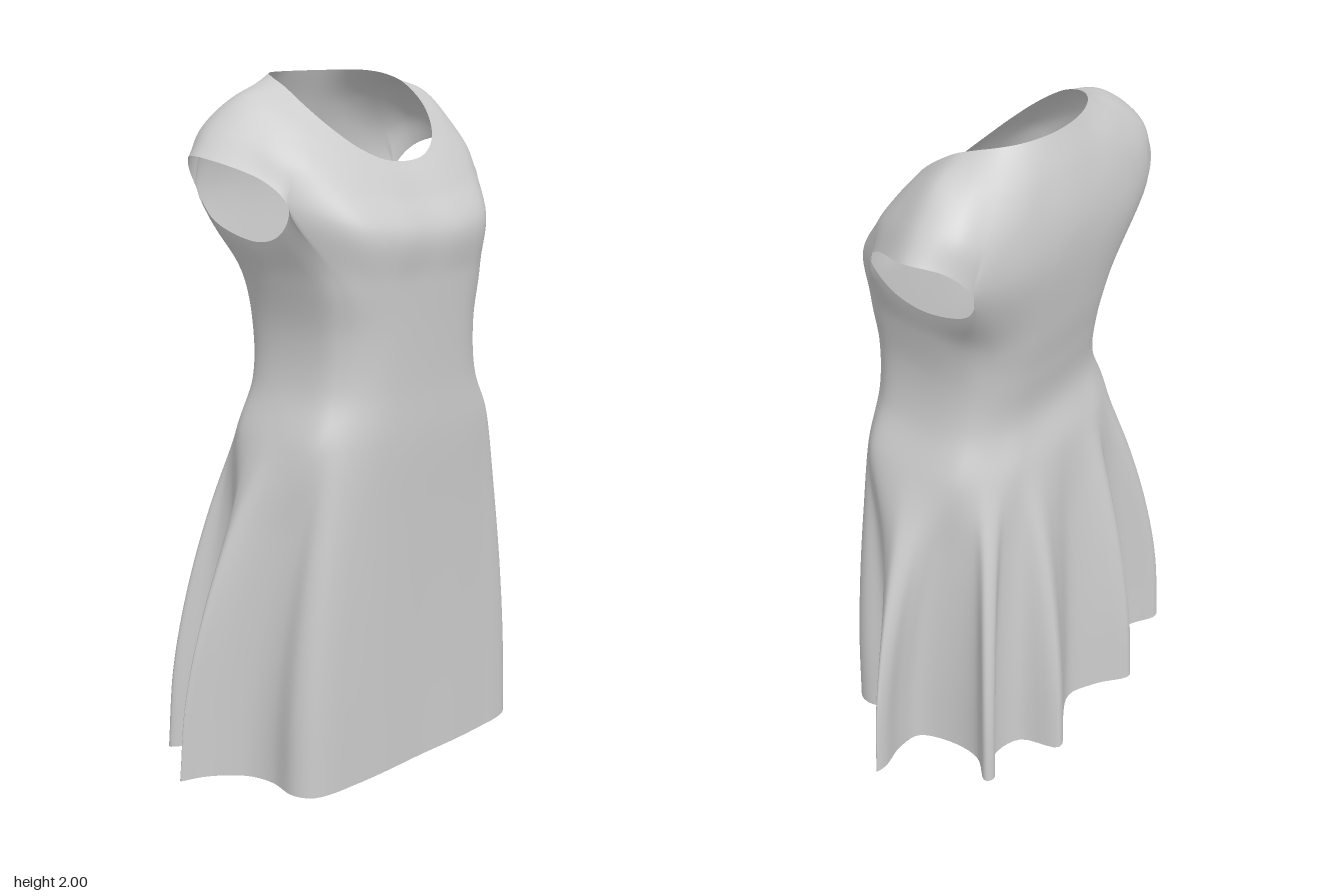
import * as THREE from 'three';
import { mergeVertices } from 'three/addons/utils/BufferGeometryUtils.js';

const COLS = 240;
const V = (x, y, z) => new THREE.Vector3(x, y, z);

// Closed horizontal loop: left half outline (centre front -> side -> centre back), then the right half mirrored in x
function ring(left, right = left) {
  const mirrored = right.slice(1, -1).reverse().map((p) => V(-p.x, p.y, p.z));
  const curve = new THREE.CatmullRomCurve3([...left, ...mirrored], true, 'catmullrom', 0.5);
  return Array.from({ length: COLS }, (_, j) => curve.getPoint(j / COLS));
}

const points = (list) => list.map((p) => V(...p));

// Rounded body section: half width w, front depth f, back depth b, widest at depth c
function bodyRing(y, w, f, b, c = 0.04) {
  const half = [];
  for (let i = 0; i <= 10; i++) {
    const a = (Math.PI * i) / 10, co = Math.cos(a);
    const z = co > 0 ? c + (f - c) * Math.pow(co, 0.58) : c + (b - c) * Math.pow(-co, 0.7);
    half.push(V(w * Math.pow(Math.abs(Math.sin(a)), 0.7), y, z));
  }
  half[0].x = half[10].x = 0;
  return ring(half);
}

// Pleated hem outlines (x, z); the pleats differ a little from side to side
const hemLeft = [
  [0, 0.312], [0.07, 0.313], [0.14, 0.314], [0.21, 0.313], [0.28, 0.311], [0.355, 0.308], [0.41, 0.29],
  [0.432, 0.24], [0.417, 0.16], [0.45, 0.098], [0.53, 0.062], [0.6, 0.043], [0.65, 0.022],
  [0.61, 0.014], [0.53, 0.03], [0.45, 0.015], [0.41, -0.08], [0.41, -0.18], [0.464, -0.247],
  [0.432, -0.266], [0.36, -0.208], [0.255, -0.232], [0.205, -0.348], [0.105, -0.29], [0, -0.24],
];
const hemRight = [
  [0, 0.312], [0.07, 0.313], [0.14, 0.314], [0.21, 0.314], [0.29, 0.312], [0.375, 0.308], [0.435, 0.29],
  [0.465, 0.24], [0.457, 0.16], [0.48, 0.092], [0.53, 0.042], [0.59, 0.005], [0.65, -0.018],
  [0.61, -0.026], [0.54, -0.003], [0.46, -0.02], [0.415, -0.09], [0.43, -0.185], [0.494, -0.25],
  [0.462, -0.268], [0.37, -0.215], [0.25, -0.235], [0.195, -0.35], [0.1, -0.285], [0, -0.24],
];
// The hem lifts at the sides
const hemPoints = (outline) => outline.map(([x, z], i) => {
  const a = (Math.PI * i) / (outline.length - 1), co = Math.cos(a);
  return V(x, 0.012 + 0.008 * co + 0.035 * Math.pow(Math.sin(a), co > 0 ? 4 : 2), z);
});

// Chest line, interrupted at the sides by the armholes
const chest = ring(points([
  [0, 1.58, 0.347], [0.13, 1.585, 0.345], [0.265, 1.605, 0.298], [0.385, 1.665, 0.165],
  [0.4, 1.67, 0.1], [0.43, 1.675, -0.02], [0.415, 1.68, -0.13],
  [0.4, 1.69, -0.187], [0.28, 1.68, -0.228], [0.14, 1.67, -0.243], [0, 1.67, -0.245],
]));
// Armhole rim: front corner, over the sleeve tip, back corner, under the arm
const armhole = new THREE.CatmullRomCurve3(points([
  [0.385, 1.665, 0.165], [0.43, 1.738, 0.1], [0.508, 1.79, -0.05], [0.46, 1.768, -0.15],
  [0.4, 1.69, -0.187], [0.375, 1.6, -0.14], [0.36, 1.556, 0], [0.365, 1.583, 0.11],
]), true, 'catmullrom', 0.5);

const armPosition = (j) => (Math.min(j, COLS - j) / (COLS / 20) - 3) / 8;
const inArmhole = (j) => armPosition(j) > 1e-6 && armPosition(j) < 0.5 - 1e-6;
function edge(upper) {
  return chest.map((p, j) => {
    if (!inArmhole(j)) return p;
    const t = armPosition(j);
    const q = armhole.getPoint(upper ? t : 1 - t);
    if (j > COLS / 2) q.x *= -1;
    return q;
  });
}

// Yoke sections between chest line and neckline
const yokeLow = [
  [0, 1.675, 0.288], [0.115, 1.682, 0.285], [0.245, 1.71, 0.245], [0.345, 1.765, 0.165], [0.4, 1.825, 0.065],
  [0.443, 1.868, -0.05], [0.42, 1.852, -0.145], [0.36, 1.81, -0.198], [0.26, 1.8, -0.225],
  [0.13, 1.79, -0.238], [0, 1.78, -0.243],
];
const yokeHigh = [
  [0, 1.725, 0.255], [0.095, 1.735, 0.25], [0.195, 1.77, 0.215], [0.275, 1.825, 0.15], [0.325, 1.888, 0.065],
  [0.35, 1.941, -0.03], [0.33, 1.938, -0.11], [0.28, 1.917, -0.165], [0.2, 1.905, -0.2],
  [0.1, 1.9, -0.21], [0, 1.9, -0.215],
];
const neckline = [
  [0, 1.765, 0.225], [0.08, 1.775, 0.22], [0.15, 1.81, 0.19], [0.2, 1.86, 0.14], [0.23, 1.915, 0.075],
  [0.236, 1.965, 0], [0.225, 1.988, -0.06], [0.195, 1.998, -0.11], [0.145, 2, -0.145],
  [0.075, 2, -0.168], [0, 2, -0.175],
];

export function createModel() {
  const hem = ring(hemPoints(hemLeft), hemPoints(hemRight));
  const hip = bodyRing(1.0, 0.385, 0.332, -0.2, 0.07);
  const torso = [
    bodyRing(1.15, 0.322, 0.331, -0.165), bodyRing(1.3, 0.305, 0.335, -0.185), bodyRing(1.45, 0.328, 0.342, -0.215),
  ];
  const lowerEdge = edge(false);
  const upperEdge = edge(true);
  const yoke = [yokeLow, yokeHigh, neckline].map((list) => ring(points(list)));

  // Skirt sections flare out quickly below the hip, with pleats deepening to the hem
  const skirt = [1, 0.75, 0.5, 0.25].map((t) => hip.map((h, j) => {
    const p = h.clone().lerp(hem[j], 1 - Math.pow(1 - t, 1.8));
    p.y = THREE.MathUtils.lerp(h.y, hem[j].y, t);
    return p;
  }));

  // Each column runs up the dress as a smooth curve
  const lowerSections = [...skirt, hip, ...torso, lowerEdge, yoke[0]];
  const positions = [], index = [];
  function addPanel(columnCurve, t0, t1, rows) {
    const base = positions.length / 3;
    for (let j = 0; j < COLS; j++) {
      const curve = columnCurve(j);
      for (let r = 0; r <= rows; r++) {
        positions.push(...curve.getPoint(t0 + ((t1 - t0) * r) / rows).toArray());
      }
    }
    for (let j = 0; j < COLS; j++) {
      for (let r = 0; r < rows; r++) {
        const a = base + j * (rows + 1) + r;
        const b = base + ((j + 1) % COLS) * (rows + 1) + r;
        index.push(a, b, a + 1, b, b + 1, a + 1);
      }
    }
  }
  // Skirt and torso up to the chest line
  addPanel((j) => new THREE.CatmullRomCurve3(lowerSections.map((s) => s[j])), 0, 8 / 9, 64);
  // Yoke and cap sleeves up to the neckline
  addPanel((j) => {
    const below = inArmhole(j)
      ? upperEdge[j].clone().multiplyScalar(2).sub(yoke[0][j])
      : torso[2][j];
    return new THREE.CatmullRomCurve3([below, upperEdge[j], ...yoke.map((s) => s[j])]);
  }, 1 / 4, 1, 24);

  // Join the panels along the chest line
  let geometry = new THREE.BufferGeometry();
  geometry.setAttribute('position', new THREE.Float32BufferAttribute(positions, 3));
  geometry.setIndex(index);
  geometry = mergeVertices(geometry, 1e-5);
  geometry.computeVertexNormals();

  const dress = new THREE.Mesh(
    geometry,
    new THREE.MeshStandardMaterial({ color: 0xcccccc, side: THREE.DoubleSide }),
  );
  dress.name = 'dress';
  const group = new THREE.Group();
  group.name = 'capSleeveDress';
  group.add(dress);
  return group;
}
